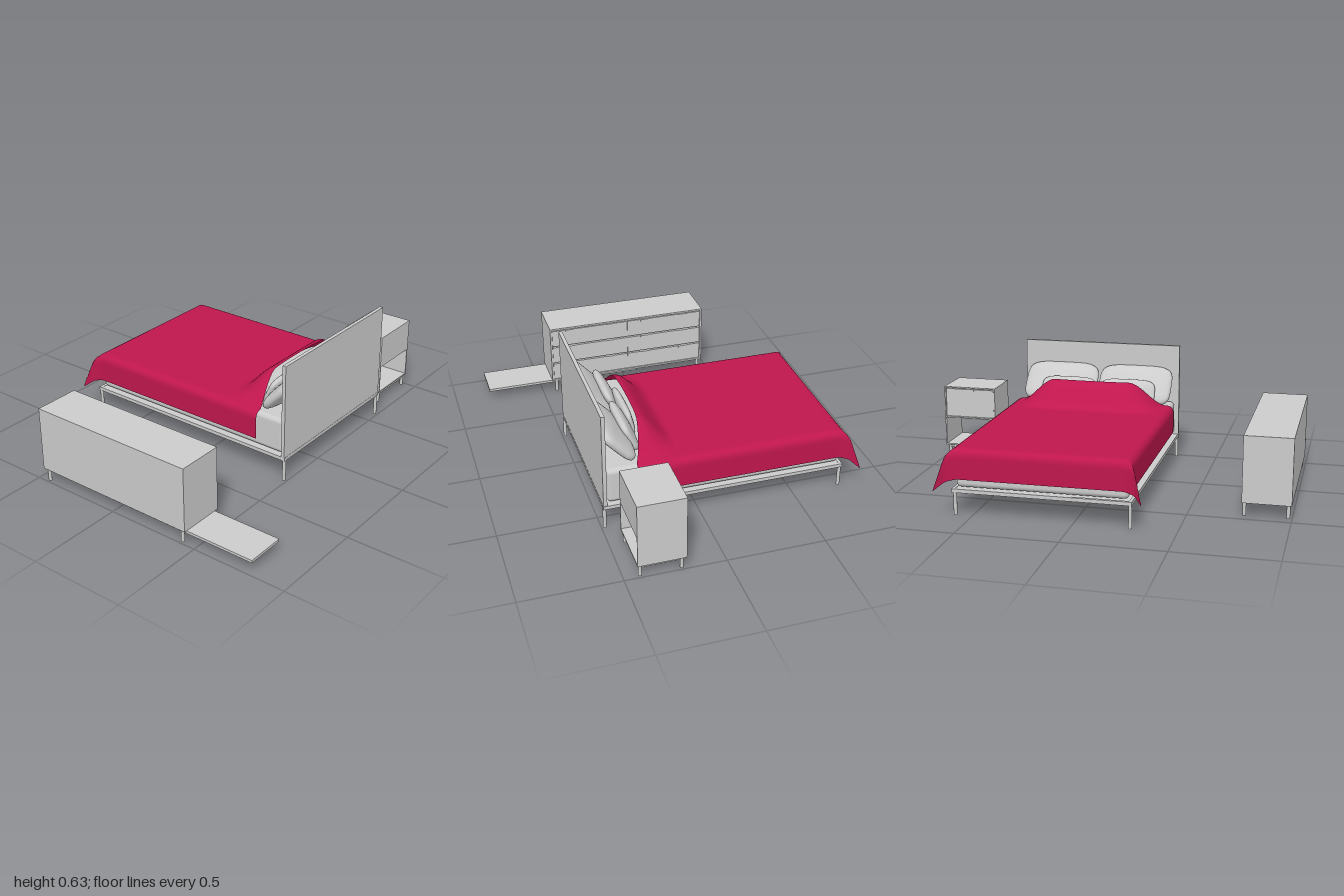
import * as THREE from 'three';
import { RoundedBoxGeometry } from 'three/addons/geometries/RoundedBoxGeometry.js';

const grey = new THREE.MeshStandardMaterial({ color: 0xcccccc });
const red = new THREE.MeshStandardMaterial({ color: 0xc0174e, side: THREE.DoubleSide });

function add(parent, name, geometry, material = grey) {
  const mesh = new THREE.Mesh(geometry, material);
  mesh.name = name;
  parent.add(mesh);
  return mesh;
}

// Box given by its lower and upper limits on each axis
function box(parent, name, [x0, x1], [y0, y1], [z0, z1]) {
  const mesh = add(parent, name, new THREE.BoxGeometry(x1 - x0, y1 - y0, z1 - z0));
  mesh.position.set((x0 + x1) / 2, (y0 + y1) / 2, (z0 + z1) / 2);
  return mesh;
}

function legs(parent, xs, zs, height, radius) {
  for (const x of xs) for (const z of zs) {
    const leg = add(parent, 'leg', new THREE.CylinderGeometry(radius, radius, height, 16));
    leg.position.set(x, height / 2, z);
  }
}

function group(parent, name) {
  const g = new THREE.Group();
  g.name = name;
  parent.add(g);
  return g;
}

// Cushion: full in the middle, thinning to a seam at the rim
function pillow(parent, name, [x, y, z], width, height, thickness, tilt) {
  const geometry = new THREE.SphereGeometry(1, 40, 28);
  const p = geometry.attributes.position;
  const square = (v) => Math.sign(v) * Math.pow(Math.abs(v), 0.45);
  for (let i = 0; i < p.count; i++) {
    // the sphere's poles lie along the thickness, its outline is squared off
    const ring = Math.hypot(p.getX(i), p.getZ(i));
    const c = ring > 1e-6 ? p.getX(i) / ring : 0;
    const s = ring > 1e-6 ? p.getZ(i) / ring : 0;
    p.setXYZ(i,
      Math.sign(p.getY(i)) * Math.pow(Math.abs(p.getY(i)), 0.8) * thickness / 2,
      -square(c) * ring * height / 2,
      square(s) * ring * width / 2);
  }
  geometry.computeVertexNormals();
  const mesh = add(parent, name, geometry);
  mesh.position.set(x, y, z);
  mesh.rotation.z = -tilt;
}

// Overhang of cloth past an edge: rounds the edge, then hangs straight
function drape(d, r = 0.035) {
  const arc = r * Math.PI / 2;
  if (d <= 0) return [d, 0];
  if (d < arc) return [r * Math.sin(d / r), r * (1 - Math.cos(d / r))];
  return [r, r + d - arc];
}

// Blanket: draped at the foot and sides, flared corners, lifted over the pillows
function blanketGeometry() {
  const nu = 80, nv = 80, drop = 0.17, r = 0.035;
  const footX = -0.765 + r, midZ = -0.162, half = 0.447 - r;
  const smooth = THREE.MathUtils.smoothstep;
  const geometry = new THREE.PlaneGeometry(1, 1, nu, nv);
  const p = geometry.attributes.position;
  for (let i = 0; i < p.count; i++) {
    const u = p.getX(i) + 0.5, t = p.getY(i) * 2 * (half + drop);
    const side = Math.sign(t), dz = Math.abs(t) - half;
    const across = Math.min(Math.abs(t) / half, 1);
    const headX = 0.25 + 0.065 * Math.pow(across, 3);
    const s = THREE.MathUtils.lerp(footX - drop, headX, u);
    const dx = footX - s;
    const [ox, downX] = drape(dx), [oz, downZ] = drape(dz);
    const corner = Math.max(0, Math.min(dx, dz));
    const flare = 0.36 * corner;
    const lift = 0.13 * smooth(s, 0.08, 0.25) * (1 - smooth(across, 0.5, 1));
    const y = 0.332 + lift - Math.max(downX, downZ) - 0.28 * corner;
    p.setXYZ(i, footX - ox - flare, y, midZ + side * (half + oz + flare));
  }
  geometry.computeVertexNormals();
  return geometry;
}

function buildBed(root) {
  const bed = group(root, 'bed');
  legs(bed, [-0.751, 0.483], [-0.585, 0.276], 0.13, 0.009);
  box(bed, 'bedPlatform', [-0.75, 0.485], [0.118, 0.13], [-0.59, 0.28]);
  // rails around the platform
  for (const z of [-0.594, 0.276]) box(bed, 'sideRail', [-0.76, 0.49], [0.113, 0.132], [z - 0.006, z + 0.009]);
  for (const x of [-0.752, 0.482]) box(bed, 'endRail', [x - 0.008, x + 0.008], [0.113, 0.132], [-0.6, 0.285]);
  box(bed, 'headboard', [0.47, 0.489], [0.132, 0.635], [-0.596, 0.287]);
  const mattress = add(bed, 'mattress', new RoundedBoxGeometry(1.21, 0.188, 0.85, 4, 0.025));
  mattress.position.set(-0.139, 0.229, -0.159);
  add(bed, 'blanket', blanketGeometry(), red);
  for (const side of [-1, 1]) {
    pillow(bed, 'largePillow', [0.392, 0.418, -0.158 + side * 0.21], 0.41, 0.25, 0.09, 0.75);
    pillow(bed, 'smallPillow', [0.305, 0.385, -0.14 + side * 0.165], 0.31, 0.17, 0.06, 0.45);
  }
  pillow(bed, 'throwPillow', [0.265, 0.38, -0.16], 0.31, 0.14, 0.05, 0.25);
}

function buildDresser(root) {
  const dresser = group(root, 'dresser');
  const X = [-0.462, 0.445], Y = [0.068, 0.403], Z = [0.758, 0.998], t = 0.01;
  // carcass
  box(dresser, 'top', X, [Y[1] - t, Y[1]], Z);
  box(dresser, 'bottom', X, [Y[0], Y[0] + t], Z);
  box(dresser, 'back', X, Y, [Z[1] - t, Z[1]]);
  for (const x of [X[0], X[1] - t]) box(dresser, 'sidePanel', [x, x + t], Y, Z);
  box(dresser, 'divider', [-0.011, -0.006], Y, [Z[0] + 0.008, Z[1]]);
  // two columns of three drawers, each with two tab pulls
  const w = (X[1] - X[0] - 2 * t) / 2, h = (Y[1] - Y[0] - 2 * t) / 3;
  for (let col = 0; col < 2; col++) for (let row = 0; row < 3; row++) {
    const x = X[0] + t + col * w, y = Y[0] + t + row * h;
    box(dresser, 'drawer', [x + 0.002, x + w - 0.002], [y + 0.002, y + h - 0.006], [Z[0] + 0.004, Z[1] - 0.02]);
    for (const f of [0.24, 0.76]) {
      const hx = x + f * w;
      box(dresser, 'drawerPull', [hx - 0.025, hx + 0.025], [y + h - 0.015, y + h - 0.004], [Z[0] - 0.003, Z[0] + 0.006]);
    }
  }
  legs(dresser, [-0.44, 0.42], [0.77, 0.981], 0.069, 0.009);
  box(dresser, 'basePlank', [-0.065, 0.812], [0.051, 0.065], [0.775, 0.98]);
}

function buildNightstand(root) {
  const stand = group(root, 'nightstand');
  const X = [0.197, 0.435], Y = [0.063, 0.4], Z = [-0.998, -0.703], t = 0.007;
  for (const z of [Z[0], Z[1] - t]) box(stand, 'sidePanel', X, Y, [z, z + t]);
  box(stand, 'top', X, [Y[1] - t, Y[1]], Z);
  box(stand, 'bottomShelf', X, [Y[0], Y[0] + t], Z);
  box(stand, 'middleShelf', X, [0.222, 0.222 + t], Z);
  // drawer above an open shelf
  box(stand, 'upperBack', [X[1] - t, X[1]], [0.222, Y[1]], Z);
  box(stand, 'drawer', [X[0] + 0.005, X[1] - 0.012], [0.231, 0.388], [Z[0] + 0.009, Z[1] - 0.009]);
  box(stand, 'drawerPull', [X[0] - 0.003, X[0] + 0.008], [0.378, 0.39], [-0.875, -0.825]);
  legs(stand, [0.218, 0.42], [-0.981, -0.72], 0.063, 0.009);
  box(stand, 'baseFrame', [0.21, 0.428], [0.047, 0.057], [-0.985, -0.716]);
}

export function createModel() {
  const root = new THREE.Group();
  root.name = 'bedroomSet';
  buildBed(root);
  buildDresser(root);
  buildNightstand(root);
  return root;
}
